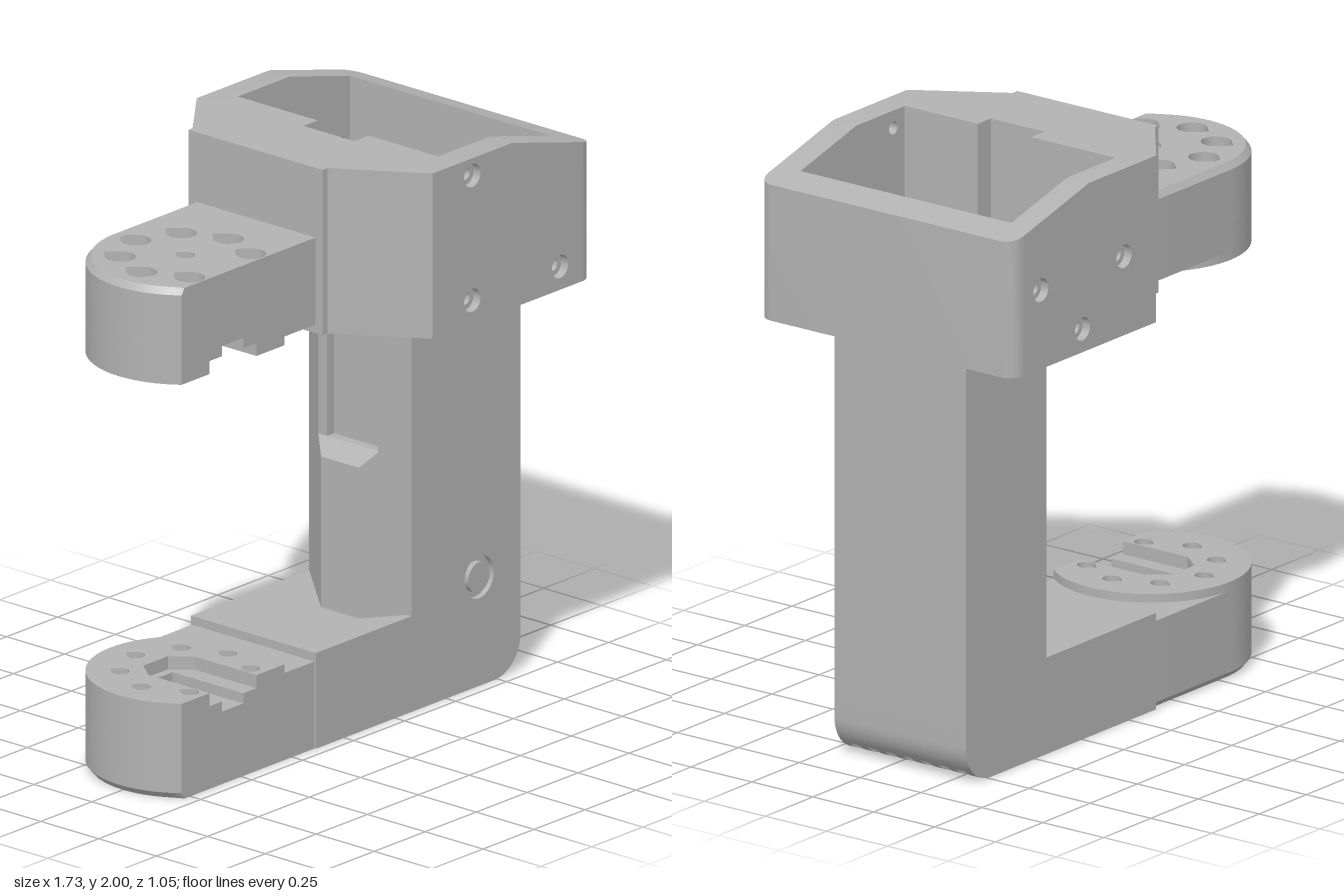
import * as THREE from 'three';
import { toCreasedNormals } from 'three/addons/utils/BufferGeometryUtils.js';

const grey = new THREE.MeshStandardMaterial({ color: 0xb2b2b2 });
grey.name = 'plastic grey';

const shapeOf = (pts, holes) => {
  const s = new THREE.Shape(pts.map(([x, y]) => new THREE.Vector2(x, y)));
  for (const h of holes) s.holes.push(new THREE.Path(h.map(([x, y]) => new THREE.Vector2(x, y))));
  return s;
};
const flipZ = pts => pts.map(([x, z]) => [x, -z]);

// arc points, angles in degrees
function arc(cx, cy, r, a0, a1, n) {
  const out = [];
  for (let i = 0; i <= n; i++) {
    const a = THREE.MathUtils.degToRad(a0 + (a1 - a0) * i / n);
    out.push([cx + r * Math.cos(a), cy + r * Math.sin(a)]);
  }
  return out;
}
const circle = (x, y, r) => arc(x, y, r, 0, 360, 32).slice(0, -1);
// teardrop in plan (x, z), tip towards -z
const teardrop = (x, z, r) => [...arc(x, z, r, -45, 225, 20), [x, z - r * 1.41]];

export function createModel() {
  const model = new THREE.Group();

  function add(name, geo, rule) {
    if (rule) {
      const p = geo.attributes.position, v = new THREE.Vector3();
      for (let i = 0; i < p.count; i++) {
        rule(v.fromBufferAttribute(p, i));
        p.setXYZ(i, v.x, v.y, v.z);
      }
    }
    const mesh = new THREE.Mesh(toCreasedNormals(geo, 0.5), grey);
    mesh.name = name;
    model.add(mesh);
  }
  // prism from a plan outline (x, z) between two heights
  function plan(name, pts, y0, y1, holes = [], rule) {
    const g = new THREE.ExtrudeGeometry(shapeOf(flipZ(pts), holes.map(flipZ)), { depth: y1 - y0, bevelEnabled: false });
    add(name, g.rotateX(-Math.PI / 2).translate(0, y0, 0), rule);
  }
  // prism from a front outline (x, y) between two depths
  function front(name, pts, z0, z1, holes = []) {
    const g = new THREE.ExtrudeGeometry(shapeOf(pts, holes), { depth: z1 - z0, bevelEnabled: false });
    add(name, g.translate(0, 0, z0));
  }

  // ---- clamp arms: rounded plates with a ring of holes and a slotted disc ----
  const CX = -0.54, R = 0.325, F = 0.205;
  const cut = THREE.MathUtils.radToDeg(Math.asin(F / R));
  const ring = [[-0.755, 0], [-0.69, -0.15], [CX, -0.215], [-0.39, -0.15], [-0.33, 0], [-0.39, 0.15], [-0.69, 0.15]];
  const pocket = [[-0.655, F], [-0.655, -0.06], [-0.6, -0.13], [-0.48, -0.13], [-0.425, -0.06], [-0.425, F]];
  const slot = [[-0.595, F], [-0.595, -0.1], [-0.49, -0.1], [-0.49, F]];
  const outline = (end, notch) => [[end, -R], ...arc(CX, 0, R, -90, -180 - (180 - (180 - cut)) , 28), ...notch, [end, F]];
  const disc = notch => [...arc(CX, 0, R, cut, -180 - cut, 56), ...notch];
  const small = ring.map(([x, z]) => teardrop(x, z, 0.03));
  const large = ring.map(([x, z]) => teardrop(x, z, 0.05));
  const middle = teardrop(CX, 0, 0.03);

  function arm(name, end, toY) {
    const layer = (part, pts, a, b, holes, rule) =>
      plan(name + part, pts, Math.min(toY(a), toY(b)), Math.max(toY(a), toY(b)), holes, rule);
    // softened outer edge
    const soften = v => {
      if (Math.abs(v.y - toY(0)) > 1e-4) return;
      const r = Math.hypot(v.x - CX, v.z);
      if (v.x <= CX + 1e-4 && r > 0.315) {
        const k = 1 - 0.018 / r;
        v.x = CX + (v.x - CX) * k;
        if (v.z < F - 0.001) v.z *= k;
      } else if (v.z < -0.32) v.z = -R + 0.018;
    };
    layer('Edge', outline(end, []), 0, 0.022, [...large, middle], soften);
    layer('Body', outline(end, []), 0.022, 0.2, [...large, middle]);
    layer('Web', outline(end, []), 0.2, 0.25, [...small, middle]);
    layer('SlotLayer', outline(end, slot), 0.25, 0.285, small);
    layer('PocketLayer', outline(end, pocket), 0.285, 0.3, small);
    layer('Disc', disc(pocket), 0.3, 0.33, small);
  }
  arm('lowerArm', -0.14, y => y);
  arm('upperArm', -0.13, y => 1.76 - y);

  // ---- foot: rounded heel with seven grooves underneath ----
  const heel = [[-0.14, 0], ...arc(0.735, 0.13, 0.13, -90, 0, 14)];
  const solid = [...heel, [0.865, 0.33], [-0.14, 0.33]];
  const grooved = [[-0.14, 0], [0.52, 0], [0.52, 0.035], ...arc(0.735, 0.13, 0.13, -47, 0, 8), [0.865, 0.33], [-0.14, 0.33]];
  let z = -0.33;
  for (let i = 0; i < 7; i++) {
    const c = -0.275 + i * 0.0725;
    front('footRib', solid, z, c - 0.0175);
    front('footGroove', grooved, c - 0.0175, c + 0.0175);
    z = c + 0.0175;
  }
  front('footRib', solid, z, 0.19);

  // ---- front skin of foot and column with a round groove ----
  front('frontSkin', [...heel, [0.865, 1.43], [0.33, 1.43], [0.33, 0.33], [-0.14, 0.33]], 0.19, 0.21, [circle(0.66, 0.375, 0.073)]);
  front('roundPlug', circle(0.66, 0.375, 0.052), 0.19, 0.21);

  // ---- column: chamfered inside, stepped back with a cable channel above ----
  const lower = [[0.865, 0.19], [0.33, 0.19], [0.2, 0.097], [0.2, -0.067], [0.44, -0.33], [0.865, -0.33]];
  plan('columnLower', lower, 0.33, 0.85);
  plan('columnStep', lower, 0.85, 0.9, [], v => {
    if (v.y > 0.89 && v.x < 0.21) { v.x = 0.255; v.z = v.z > 0 ? 0.136 : -0.127; }
  });
  plan('columnUpper', [[0.865, 0.19], [0.33, 0.19], [0.255, 0.136], [0.255, 0.13], [0.29, 0.13], [0.29, -0.09],
    [0.255, -0.09], [0.255, -0.127], [0.44, -0.33], [0.865, -0.33]], 0.9, 1.43);

  // ---- head: open box with a sloping rim ----
  const slope = x => 2 - Math.max(0, x - 0.465) * 0.2625;
  plan('headInnerWall', [[-0.135, -0.345], [-0.115, -0.345], [0.11, -0.525], [0.11, -0.435], [0.21, -0.435], [0.21, -0.09],
    [0.14, -0.09], [0.14, 0.13], [0.21, 0.13], [0.21, 0.43], [0.075, 0.43], [0.075, 0.525], [-0.11, 0.235], [-0.135, 0.235]], 1.43, 2);
  plan('headOuterWall', [[0.76, 0.43], [0.81, 0.43], ...arc(0.81, 0.47, 0.055, 90, 0, 8),
    ...arc(0.81, -0.47, 0.055, 0, -90, 8), [0.81, -0.435], [0.76, -0.435]], 1.43, 2, [], v => {
    if (v.y > 1.9) v.y = slope(v.x);
  });
  plan('headFloor', [[0.21, -0.435], [0.76, -0.435], [0.76, 0.43], [0.21, 0.43], [0.21, 0.13], [0.29, 0.13], [0.29, -0.09], [0.21, -0.09]], 1.43, 1.48);

  // side walls with counterbored screw holes
  const wall = x => [[x, 1.43], [0.81, 1.43], [0.81, slope(0.81)], [0.465, 2], [x, 2]];
  const bores = (list, r) => list.map(([x, y]) => circle(x, y, r));
  const frontScrews = [[0.27, 1.94], [0.27, 1.51], [0.7, 1.51]];
  const backScrews = [[0.28, 1.7], [0.72, 1.7], [0.5, 1.51]];
  front('headFrontWall', wall(0.075), 0.43, 0.495, bores(frontScrews, 0.022));
  front('headFrontFace', wall(0.075), 0.495, 0.525, bores(frontScrews, 0.04));
  front('headBackWall', wall(0.11), -0.495, -0.435, bores(backScrews, 0.022));
  front('headBackFace', wall(0.11), -0.525, -0.495, bores(backScrews, 0.04));

  return model;
}
